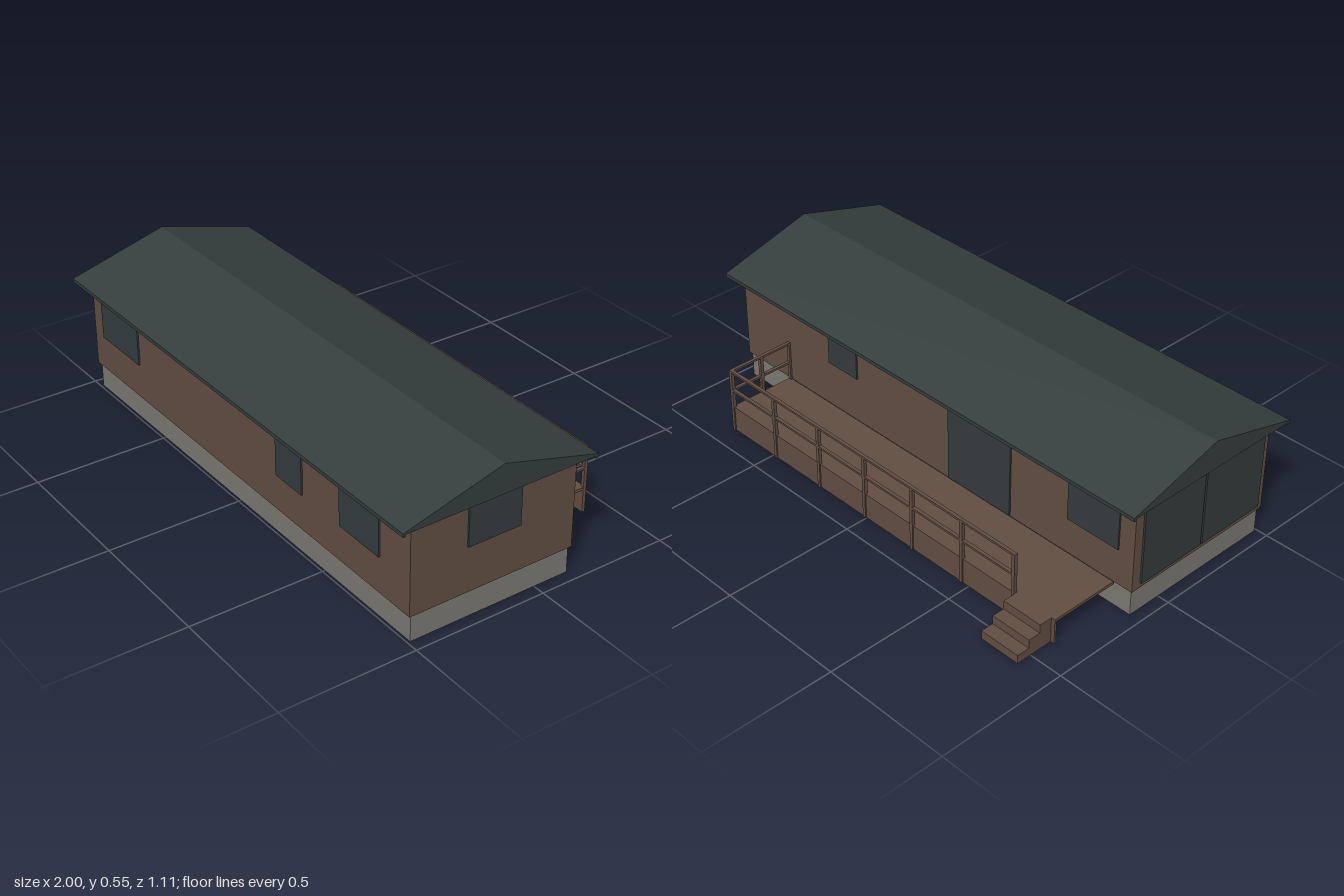
import * as THREE from 'three';

const mat = (name, color) => {
  const m = new THREE.MeshStandardMaterial({ color });
  m.name = name;
  return m;
};

export function createModel() {
  const house = new THREE.Group();
  house.name = 'house';
  const timber = mat('brown timber', 0x634f43);
  const slate = mat('dark slate', 0x353f3e);
  const glass = mat('window glass', 0x353d3e);
  const concrete = mat('grey concrete', 0x7c7b73);

  const add = (name, geometry, material, parent = house) => {
    const mesh = new THREE.Mesh(geometry, material);
    mesh.name = name;
    parent.add(mesh);
    return mesh;
  };
  // Box given by its limits on each axis
  const box = (name, material, [x0, x1], [y0, y1], [z0, z1], parent) => {
    const g = new THREE.BoxGeometry(x1 - x0, y1 - y0, z1 - z0);
    g.translate((x0 + x1) / 2, (y0 + y1) / 2, (z0 + z1) / 2);
    return add(name, g, material, parent);
  };
  // Side profile of [z, y] points, swept along x
  const sweep = (name, material, points, [x0, x1], parent) => {
    const shape = new THREE.Shape(points.map(([z, y]) => new THREE.Vector2(-z, y)));
    const g = new THREE.ExtrudeGeometry(shape, { depth: x1 - x0, bevelEnabled: false });
    g.rotateY(Math.PI / 2).translate(x0, 0, 0);
    return add(name, g, material, parent);
  };

  // Main body
  box('foundation', concrete, [-0.955, 0.955], [0, 0.1], [-0.135, 0.49]);
  box('walls', timber, [-0.963, 0.963], [0.1, 0.443], [-0.142, 0.5]);

  // Gable roof with hanging eave boards
  sweep('roof', slate, [[0.557, 0.442], [0.557, 0.448], [0.18, 0.551], [-0.197, 0.448], [-0.197, 0.442]], [-1, 1]);
  for (const [z0, z1] of [[0.546, 0.557], [-0.197, -0.186]])
    box('eaveBoard', slate, [-1, 1], [0.434, 0.443], [z0, z1]);

  // Front windows
  for (const x of [[-0.895, -0.638], [0.245, 0.393], [0.602, 0.81]])
    box('frontWindow', glass, x, [0.236, 0.432], [0.499, 0.506]);

  // Back windows and door
  box('backSmallWindow', glass, [0.34, 0.49], [0.28, 0.432], [-0.148, -0.141]);
  box('backLargeWindow', glass, [-0.9, -0.68], [0.24, 0.432], [-0.148, -0.141]);
  box('backDoor', glass, [-0.42, -0.125], [0.105, 0.438], [-0.148, -0.141]);

  // Window on the left end, double glazed doors on the right end
  box('endWindow', glass, [0.962, 0.969], [0.272, 0.416], [0.078, 0.284]);
  for (const z of [[-0.105, 0.18], [0.188, 0.475]])
    box('patioDoor', glass, [-0.97, -0.962], [0.12, 0.434], z);

  // Deck along the back
  const deck = new THREE.Group();
  deck.name = 'deck';
  house.add(deck);
  box('deckFloor', timber, [-0.885, 0.725], [0.088, 0.099], [-0.41, -0.142], deck);
  box('deckSkirt', timber, [-0.885, 0.725], [0, 0.088], [-0.41, -0.402], deck);

  // Railing posts along the back edge and the left end
  const post = (x, z) =>
    box('railPost', timber, [x - 0.0065, x + 0.0065], [0, 0.255], [z - 0.0065, z + 0.0065], deck);
  for (let i = 0; i < 7; i++) post(0.719 - i * 0.237, -0.408);
  post(0.719, -0.275);
  post(0.719, -0.142);

  // Middle and top rails
  for (const y of [0.173, 0.253]) {
    const h = [y - 0.004, y + 0.004];
    box('backRail', timber, [-0.71, 0.725], h, [-0.4145, -0.4015], deck);
    box('endRail', timber, [0.7125, 0.7255], h, [-0.41, -0.142], deck);
  }

  // Three solid steps down from the deck
  sweep('steps', timber, [
    [-0.41, 0], [-0.41, 0.099], [-0.46, 0.099], [-0.46, 0.066],
    [-0.508, 0.066], [-0.508, 0.033], [-0.557, 0.033], [-0.557, 0],
  ], [-0.87, -0.71], deck);

  return house;
}
